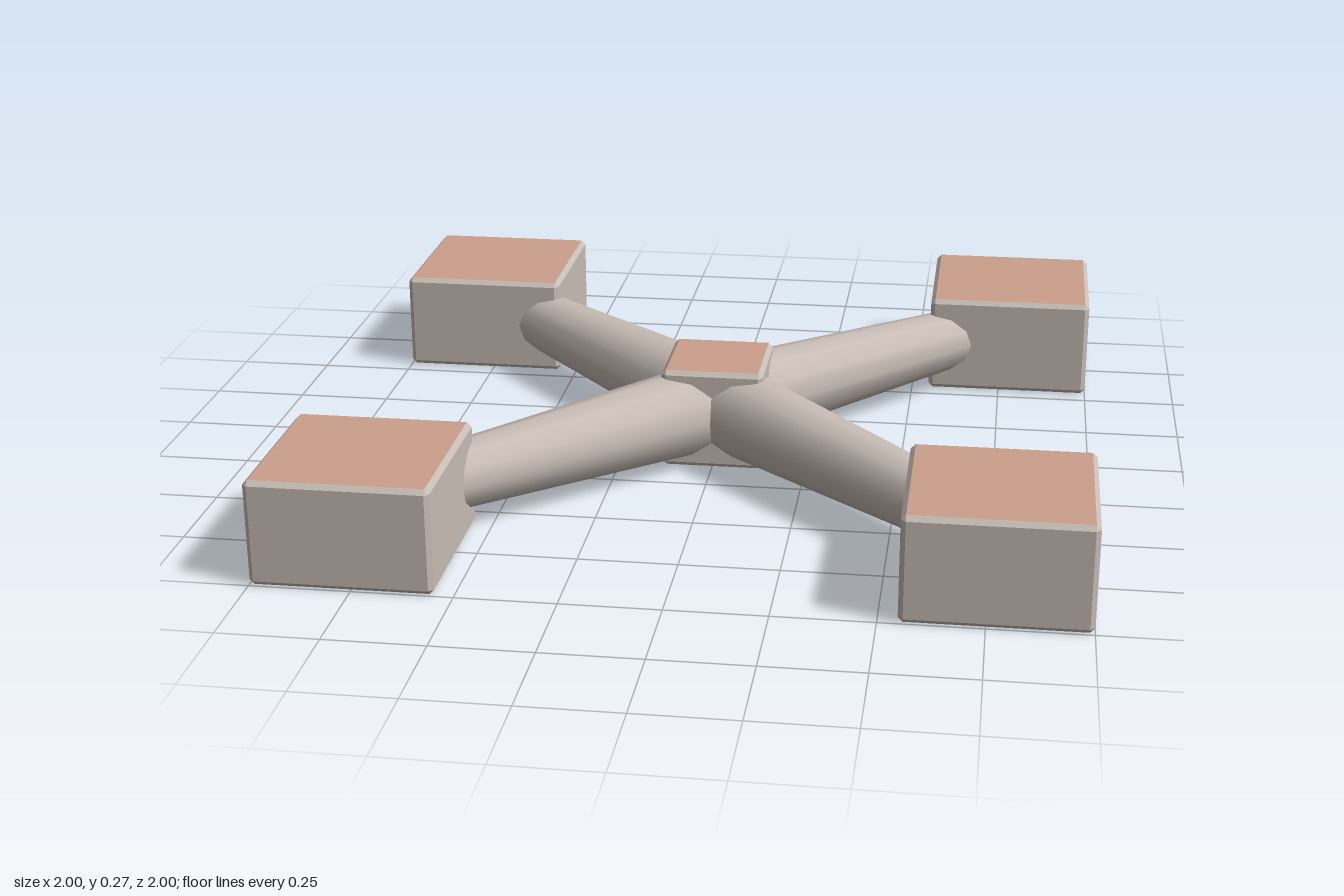
import * as THREE from 'three';
import { ConvexGeometry } from 'three/addons/geometries/ConvexGeometry.js';

const HEIGHT = 0.27;
const BEVEL = 0.012;

// Box with chamfered edges; group 0 = sides and bevels, group 1 = flat top and bottom
function chamferedBox(w, h, d) {
  const points = [];
  const [x, y, z] = [w / 2, h / 2, d / 2];
  for (const sx of [-1, 1]) for (const sy of [-1, 1]) for (const sz of [-1, 1]) {
    points.push(
      new THREE.Vector3(sx * x, sy * (y - BEVEL), sz * (z - BEVEL)),
      new THREE.Vector3(sx * (x - BEVEL), sy * y, sz * (z - BEVEL)),
      new THREE.Vector3(sx * (x - BEVEL), sy * (y - BEVEL), sz * z)
    );
  }
  const geometry = new ConvexGeometry(points);
  const normal = geometry.attributes.normal;
  for (let i = 0; i < normal.count; i += 3) {
    geometry.addGroup(i, 3, Math.abs(normal.getY(i)) > 0.99 ? 1 : 0);
  }
  return geometry;
}

export function createModel() {
  const model = new THREE.Group();
  const grey = new THREE.MeshStandardMaterial({ color: 0xc8bdb6 });
  grey.name = 'warmGrey';
  const pink = new THREE.MeshStandardMaterial({ color: 0xcc9f8c });
  pink.name = 'dustyPink';

  // Central hub
  const hub = new THREE.Mesh(chamferedBox(0.27, HEIGHT, 0.27), [grey, pink]);
  hub.name = 'hub';
  hub.position.y = HEIGHT / 2;
  model.add(hub);

  // Tapered arm, running from the hub centre outwards along +z
  const armLength = 1;
  const armGeometry = new THREE.CylinderGeometry(0.079, 0.121, armLength, 12);
  armGeometry.translate(0, armLength / 2, 0).rotateX(Math.PI / 2);
  const padGeometry = chamferedBox(0.452, HEIGHT, 0.452);

  // Four diagonal arms, each ending in a square pad
  for (const sx of [-1, 1]) for (const sz of [-1, 1]) {
    const label = (sz > 0 ? 'front' : 'back') + (sx > 0 ? 'Left' : 'Right');

    const arm = new THREE.Mesh(armGeometry, grey);
    arm.name = label + 'Arm';
    arm.position.y = HEIGHT / 2;
    arm.rotation.y = Math.atan2(sx, sz);
    model.add(arm);

    const pad = new THREE.Mesh(padGeometry, [grey, pink]);
    pad.name = label + 'Pad';
    pad.position.set(sx * 0.774, HEIGHT / 2, sz * 0.774);
    model.add(pad);
  }
  return model;
}
